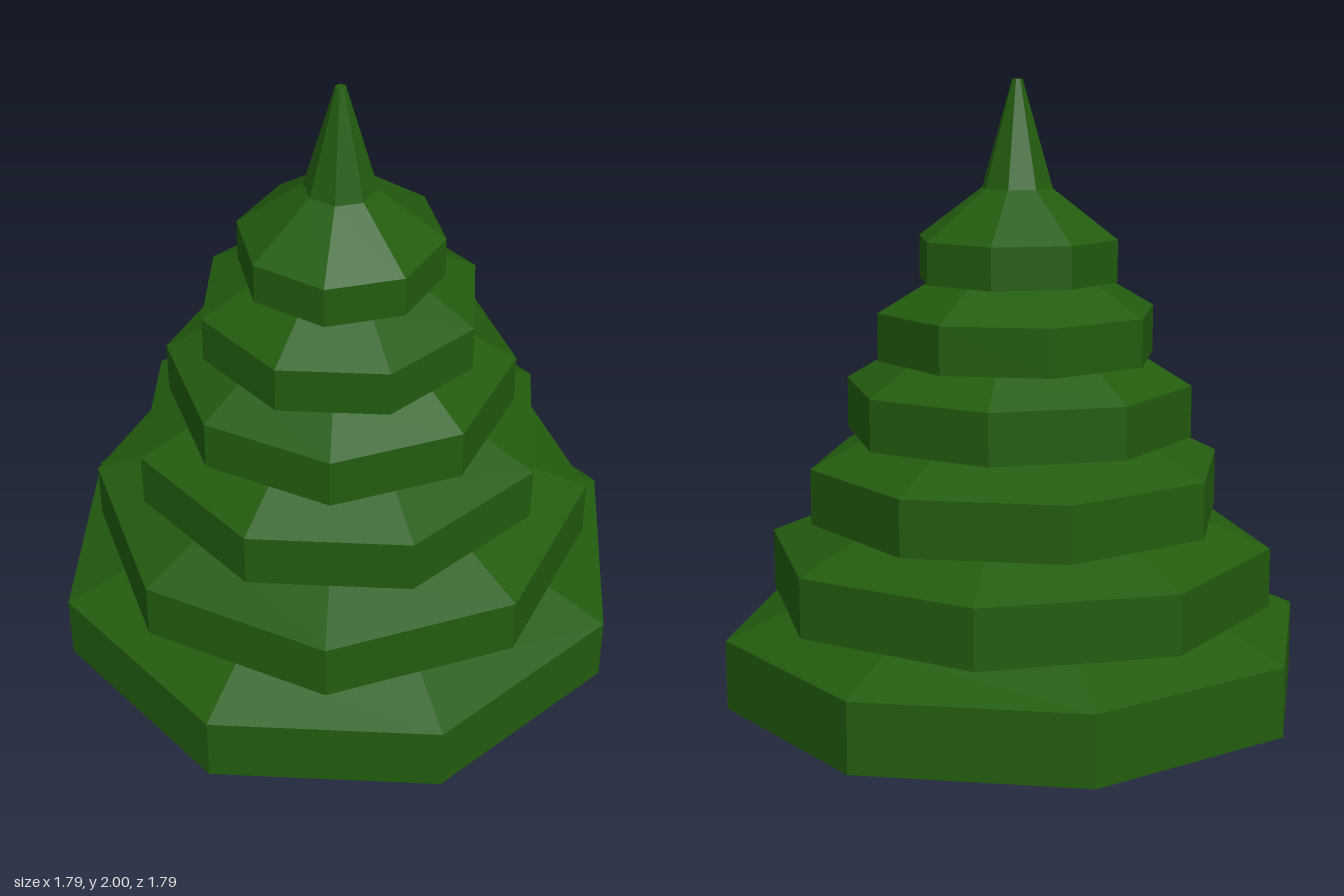
import * as THREE from 'three';

const SIDES = 8;

// Closed eight-sided solid from [radius, height] pairs, listed bottom to top.
// turn is the angle in degrees of one corner, measured from +x towards +z.
function facetedSolid(name, profile, turn, material) {
  const bottom = profile[0][1];
  const top = profile[profile.length - 1][1];
  const points = [[0, bottom], ...profile, [0, top]].map(([r, y]) => new THREE.Vector2(r, y));
  const start = THREE.MathUtils.degToRad(90 - turn);
  const mesh = new THREE.Mesh(new THREE.LatheGeometry(points, SIDES, start), material);
  mesh.name = name;
  return mesh;
}

export function createModel() {
  const tree = new THREE.Group();
  tree.name = 'pineTree';
  const leaves = new THREE.MeshStandardMaterial({ color: 0x225c0e, flatShading: true });
  const bark = new THREE.MeshStandardMaterial({ color: 0x3d2817, flatShading: true });

  // Trunk
  tree.add(facetedSolid('trunk', [[0.212, 0], [0.212, 0.15]], 0, bark));

  // Branch tiers: upright rim, then a roof sloping in under the next tier
  const tiers = [
    { rim: 0.895, neck: 0.71, base: 0.14, eave: 0.35, top: 0.432, turn: 0 },
    { rim: 0.768, neck: 0.574, base: 0.432, eave: 0.61, top: 0.692, turn: 22.5 },
    { rim: 0.632, neck: 0.46, base: 0.692, eave: 0.86, top: 0.946, turn: 0 },
    { rim: 0.525, neck: 0.395, base: 0.946, eave: 1.10, top: 1.178, turn: 22.5 },
    { rim: 0.425, neck: 0.27, base: 1.178, eave: 1.32, top: 1.41, turn: 0 },
    { rim: 0.305, neck: 0.108, base: 1.41, eave: 1.535, top: 1.682, turn: 28 },
  ];
  tiers.forEach(({ rim, neck, base, eave, top, turn }, i) => {
    const profile = [[rim, base], [rim, eave], [neck, top]];
    tree.add(facetedSolid(`branchTier${i + 1}`, profile, turn, leaves));
  });

  // Pointed tip
  tree.add(facetedSolid('tip', [[0.108, 1.682], [0.016, 2]], 28, leaves));

  return tree;
}
